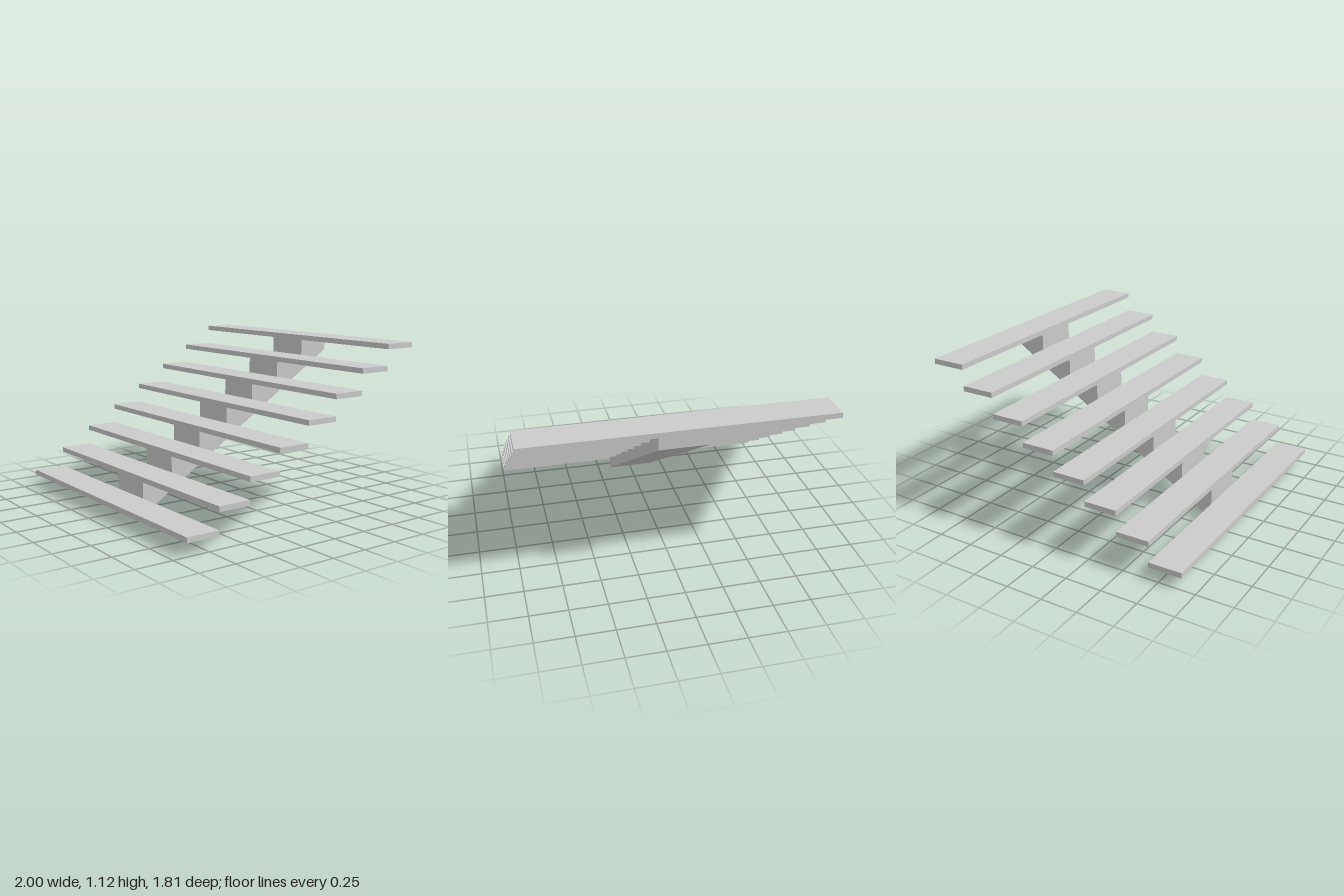
import * as THREE from 'three';

export function createModel() {
  const group = new THREE.Group();
  group.name = 'staircase';
  const material = new THREE.MeshStandardMaterial({ color: 0xcccccc, flatShading: true });

  const steps = 8, width = 2, thickness = 0.035;
  const front = 0.906, depth = (2 * front) / steps;
  const firstTop = 0.116, rise = 0.1433;
  const underside = (i) => firstTop + i * rise - thickness;

  // Treads: wide flat boards climbing towards the back
  const treadGeometry = new THREE.BoxGeometry(width, thickness, depth);
  for (let i = 0; i < steps; i++) {
    const tread = new THREE.Mesh(treadGeometry, material);
    tread.name = `tread${i + 1}`;
    tread.position.set(0, underside(i) + thickness / 2, front - (i + 0.5) * depth);
    group.add(tread);
  }

  // Central stringer: sawtooth top under the treads, straight sloping underside
  const beamWidth = 0.316;
  const profile = new THREE.Shape();
  profile.moveTo(depth - front, 0);
  profile.lineTo(front, 1.004);
  for (let i = steps - 1; i > 0; i--) {
    profile.lineTo((i + 1) * depth - front, underside(i));
    profile.lineTo(i * depth - front, underside(i));
  }
  profile.closePath();
  const beamGeometry = new THREE.ExtrudeGeometry(profile, { depth: beamWidth, bevelEnabled: false });
  beamGeometry.translate(0, 0, -beamWidth / 2).rotateY(Math.PI / 2);
  const stringer = new THREE.Mesh(beamGeometry, material);
  stringer.name = 'centralStringer';
  group.add(stringer);

  return group;
}
